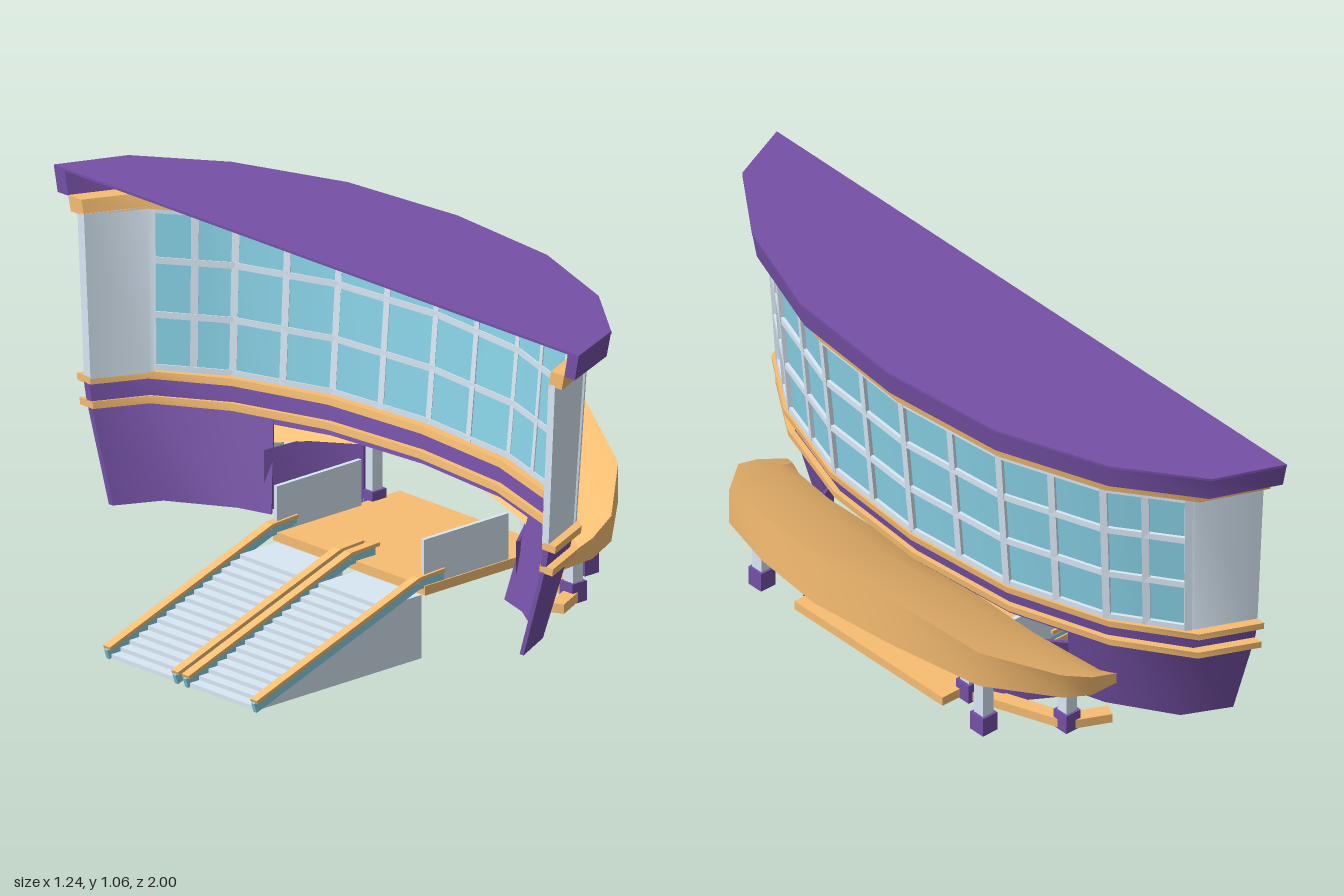
import * as THREE from 'three';
import { toCreasedNormals } from 'three/addons/utils/BufferGeometryUtils.js';

const mat = (color) => new THREE.MeshStandardMaterial({ color, side: THREE.DoubleSide });
const purple = mat(0x7551a6), gold = mat(0xf8be72), glass = mat(0x88d2e6), pale = mat(0xd9e8f5);
const BACK = -0.137;
// Plan of the bowed front, from its middle to one end: [depth, half width]
const PLAN = [[1, 0], [0.93, 0.38], [0.7, 0.7], [0.38, 0.92], [0, 1]];

// Point on the bowed plan; s runs from -4 to 4, r = [half width, front x]
function bow(r, s, y) {
  const a = Math.abs(s), i = Math.min(3, Math.floor(a)), f = a - i;
  const d = THREE.MathUtils.lerp(PLAN[i][0], PLAN[i + 1][0], f);
  const w = THREE.MathUtils.lerp(PLAN[i][1], PLAN[i + 1][1], f);
  return [BACK + d * (r[1] - BACK), y, Math.sign(s) * w * r[0]];
}

// Closed skin over equal rings of points, ordered toward +z
function loft(rings) {
  const n = rings[0].length, pos = [];
  const tri = (a, b, c) => pos.push(...a, ...b, ...c);
  for (let i = 0; i < rings.length - 1; i++) {
    for (let k = 0; k < n; k++) {
      const l = (k + 1) % n, p = rings[i], q = rings[i + 1];
      tri(p[k], p[l], q[l]);
      tri(p[k], q[l], q[k]);
    }
  }
  const first = rings[0], last = rings[rings.length - 1];
  for (let k = 1; k < n - 1; k++) {
    tri(last[0], last[k], last[k + 1]);
    tri(first[0], first[k + 1], first[k]);
  }
  const g = new THREE.BufferGeometry();
  g.setAttribute('position', new THREE.Float32BufferAttribute(pos, 3));
  return toCreasedNormals(g, 0.8);
}

// Bowed band between two heights
function band(y0, r0, y1, r1, thick, stations) {
  const inner = (r) => [r[0] - thick, r[1] - thick];
  return loft(stations.map((s) => [
    bow(r0, s, y0), bow(r1, s, y1), bow(inner(r1), s, y1), bow(inner(r0), s, y0),
  ]));
}

export function createModel() {
  const model = new THREE.Group();
  const add = (name, geo, material) => {
    const m = new THREE.Mesh(geo, material);
    m.name = name;
    model.add(m);
    return m;
  };
  const box = (name, w, h, d, x, y, z, material) =>
    add(name, new THREE.BoxGeometry(w, h, d), material).position.set(x, y, z);
  const beam = (name, a, b, w, h, material) => {
    const p = new THREE.Vector3(...a), q = new THREE.Vector3(...b);
    const m = add(name, new THREE.BoxGeometry(w, h, p.distanceTo(q)), material);
    m.position.copy(p).lerp(q, 0.5);
    m.lookAt(q);
  };
  const all = [-4, -3, -2, -1, 0, 1, 2, 3, 4];

  // Roof: thin sheet with a slightly flared rim, open at the back
  add('roofSheet', loft(all.map((s) => {
    const a = bow([1, 0.365], s, 1.05), b = bow([1, 0.365], s, 1.057);
    return [a, b, [BACK, b[1], b[2]], [BACK, a[1], a[2]]];
  })), purple);
  add('roofRim', band(0.985, [0.985, 0.355], 1.055, [1, 0.365], 0.04, all), purple);

  // Horizontal trim
  add('cornice', band(0.945, [0.935, 0.33], 0.987, [0.945, 0.338], 0.05, all), gold);
  add('sillTrim', band(0.485, [0.91, 0.285], 0.505, [0.912, 0.288], 0.05, all), gold);
  add('fascia', band(0.438, [0.875, 0.262], 0.487, [0.885, 0.27], 0.02, all), purple);
  add('lowerTrim', band(0.42, [0.9, 0.275], 0.44, [0.902, 0.277], 0.05, all), gold);

  // Window wall, leaning outward
  const Y0 = 0.5, Y1 = 0.95, W0 = [0.885, 0.27], W1 = [0.91, 0.312];
  const onWall = (s, y) => {
    const t = (y - Y0) / (Y1 - Y0);
    return bow([0, 1].map((i) => THREE.MathUtils.lerp(W0[i], W1[i], t)), s, y);
  };
  const half = [0.5, 1, 1.5, 2, 2.45, 2.92];
  const bars = [...half.map((s) => -s).reverse(), 0, ...half];
  add('windowGlass', band(Y0, W0, Y1, W1, 0.008, bars), glass);
  for (const e of [-1, 1]) {
    const span = [2.92, 3, 4].map((s) => s * e);
    add('endWall', band(Y0, W0, Y1, W1, 0.025, e > 0 ? span : span.reverse()), pale);
  }
  for (const s of bars) beam('mullion', onWall(s, Y0), onWall(s, Y1), 0.02, 0.02, pale);
  for (const y of [0.512, 0.655, 0.802, 0.938]) {
    for (let i = 0; i < bars.length - 1; i++) {
      beam('transom', onWall(bars[i], y), onWall(bars[i + 1], y), 0.02, 0.018, pale);
    }
  }

  // Tapered base that turns outward beside the entrance, with a lintel above
  const B0 = [0.79, 0.2], B1 = [0.87, 0.262];
  for (const e of [-1, 1]) {
    const span = [1.6, 2, 3, 4].map((s) => s * e);
    add('baseWall', band(0.173, B0, 0.422, B1, 0.015, e > 0 ? span : span.reverse()), purple);
    const rings = [[0.335, 0.31, 0.39], [0.3, 0.38, 0.38], [0.14, 0.48, 0.34]].map(([x, z, top]) => [
      [x, 0.175, z * e], [x, top, z * e], [x - 0.015, top, z * e], [x - 0.015, 0.175, z * e]]);
    add('entranceWall', loft(e > 0 ? rings : rings.reverse()), purple);
  }
  add('lintel', band(0.4, [0.863, 0.257], 0.422, B1, 0.015, [-1.6, -1, 0, 1, 1.6]), purple);

  // Sweeping canopy: [outer x, outer z, top y, bottom y, inner x, inner z, inner y]
  const side = [
    [0.62, 0, 0.597, 0.44, 0.26, 0, 0.405],
    [0.58, 0.25, 0.57, 0.425, 0.24, 0.2, 0.4],
    [0.48, 0.49, 0.475, 0.37, 0.21, 0.4, 0.365],
    [0.32, 0.635, 0.405, 0.335, 0.17, 0.53, 0.335],
    [0.235, 0.655, 0.37, 0.313, 0.15, 0.59, 0.32],
    [0.14, 0.645, 0.333, 0.303, 0.13, 0.625, 0.31],
  ];
  const canopyRing = ([x, z, t, b, ix, iz, iy], e) => {
    const f = 0.4;
    return [[x, b, z * e], [x, t, z * e],
      [ix + (x - ix) * f, iy + (t - iy) * 0.56, (iz + (z - iz) * f) * e], [ix, iy, iz * e]];
  };
  add('canopy', loft([
    ...side.slice(1).reverse().map((p) => canopyRing(p, -1)),
    ...side.map((p) => canopyRing(p, 1)),
  ]), gold);

  // Columns on plinths, with a low curb from the wall to the entrance
  const columns = [[0.245, 0.57, 0.345], [0.415, 0.435, 0.385], [0.345, 0.3, 0.41]];
  const curb = [[0.14, 0.62], [0.245, 0.57], [0.345, 0.3]];
  for (const e of [-1, 1]) {
    for (const [x, z, top] of columns) {
      box('plinth', 0.05, 0.055, 0.05, x, 0.201, z * e, purple);
      box('column', 0.036, top - 0.22, 0.036, x, (top + 0.22) / 2, z * e, pale);
    }
    for (let i = 0; i < 2; i++) {
      const [a, b] = [curb[i], curb[i + 1]];
      beam('curb', [a[0], 0.19, a[1] * e], [b[0], 0.19, b[1] * e], 0.04, 0.026, gold);
    }
  }

  // Entrance deck with side panels
  box('deck', 0.45, 0.026, 0.58, 0.205, 0.19, 0, gold);
  for (const e of [-1, 1]) box('deckPanel', 0.3, 0.13, 0.012, 0.13, 0.265, 0.28 * e, pale);

  // Two flights of steps on solid stair blocks with a slot between them
  const N = 15, run = 0.49 / N, rise = 0.175 / N;
  const profile = new THREE.Shape();
  profile.moveTo(-0.02, 0);
  profile.lineTo(-0.61, 0);
  for (let i = 0; i < N; i++) {
    profile.lineTo(-0.61 + i * run, (i + 1) * rise);
    profile.lineTo(-0.61 + (i + 1) * run, (i + 1) * rise);
  }
  profile.lineTo(-0.02, 0.175);
  const flight = new THREE.ExtrudeGeometry(profile, { depth: 0.25, bevelEnabled: false });
  for (const z of [-0.275, 0.025]) add('stairFlight', flight, pale).position.z = z;

  // Balustrades: sloping glass strip under a flat handrail
  const line = [[-0.62, 0.03], [-0.04, 0.228], [0.05, 0.232]];
  for (const z of [-0.28, -0.02, 0.02, 0.28]) {
    for (let i = 0; i < 2; i++) {
      const [x, y] = line[i], [x2, y2] = line[i + 1];
      beam('handrail', [x, y, z], [x2, y2, z], 0.026, 0.01, gold);
      beam('balustrade', [x, y - 0.018, z], [x2, y2 - 0.018, z], 0.012, 0.028, glass);
    }
  }
  beam('slotPanel', [-0.6, 0.015, 0], [-0.04, 0.205, 0], 0.03, 0.02, glass);
  box('railEnd', 0.02, 0.01, 0.066, 0.05, 0.232, 0, gold);
  return model;
}
